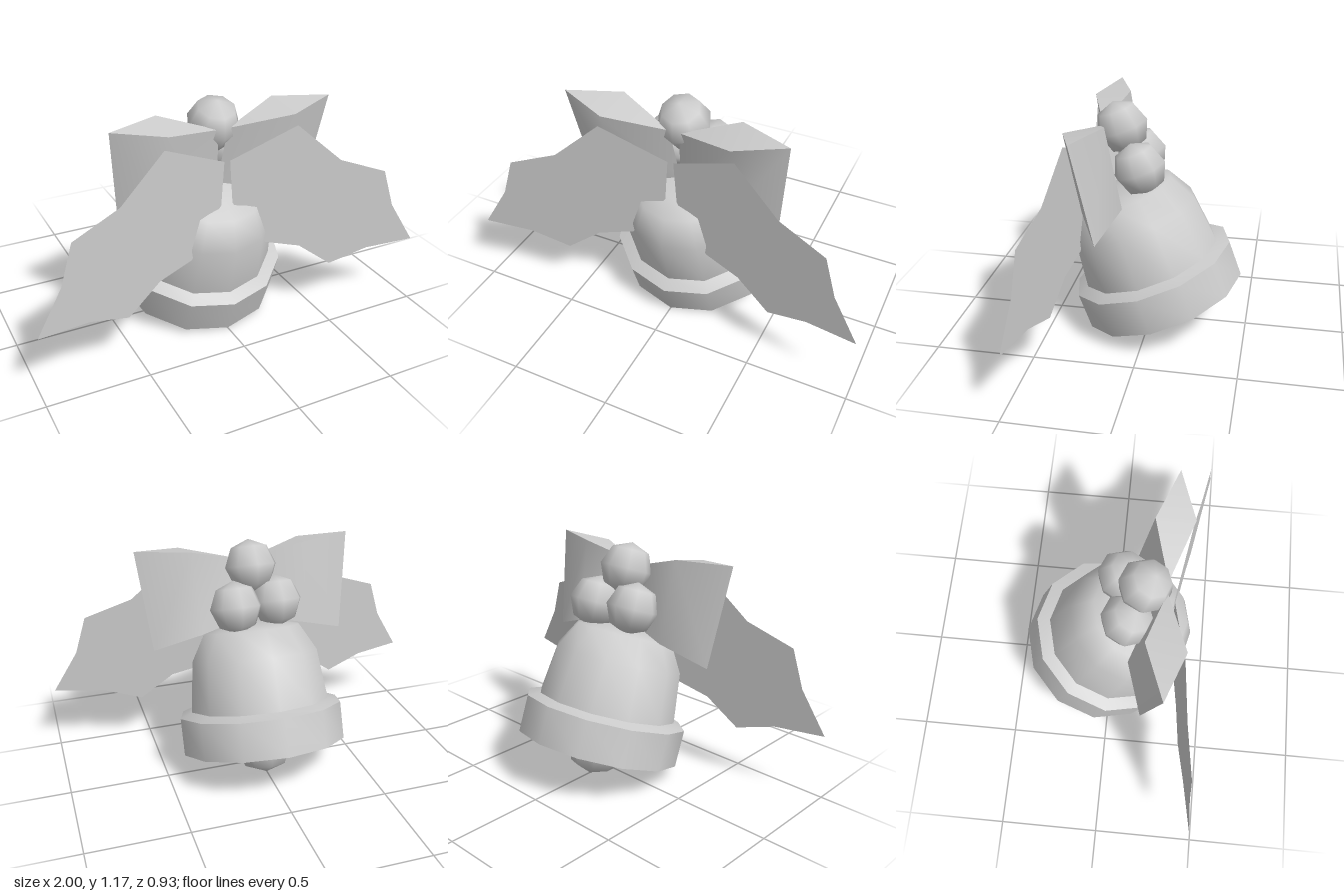
import * as THREE from 'three';
import { toCreasedNormals } from 'three/addons/utils/BufferGeometryUtils.js';

const TILT = 0.349;

export function createModel() {
  const model = new THREE.Group();
  model.name = 'festiveBell';
  const grey = new THREE.MeshStandardMaterial({ color: 0xcccccc, side: THREE.DoubleSide });
  grey.name = 'plainGrey';

  const add = (parent, name, geometry, x = 0, y = 0, z = 0) => {
    const mesh = new THREE.Mesh(geometry, grey);
    mesh.name = name;
    mesh.position.set(x, y, z);
    parent.add(mesh);
    return mesh;
  };

  // Bell, leaning forward, open at the bottom
  const bell = new THREE.Group();
  bell.name = 'bell';
  bell.position.set(0, 0.148, -0.067);
  bell.rotation.x = TILT;
  model.add(bell);
  const profile = [
    [0.422, 0], [0.422, 0.189], [0.36, 0.213], [0.328, 0.468], [0.25, 0.603], [0.14, 0.628], [0, 0.64],
  ].map(([r, h]) => new THREE.Vector2(r, h));
  add(bell, 'bellShell', toCreasedNormals(new THREE.LatheGeometry(profile, 12), 0.95));

  // Clapper and its short stem
  add(bell, 'clapper', new THREE.SphereGeometry(0.157, 8, 4));
  add(bell, 'clapperStem', new THREE.CylinderGeometry(0.032, 0.032, 0.19, 6), 0, 0.195, 0);

  // Three berries behind the bow
  for (const [x, y, z] of [[0, 1.05, 0.147], [0.11, 0.88, 0.04], [-0.11, 0.88, 0.075]]) {
    add(model, 'berry', new THREE.SphereGeometry(0.132, 8, 4), x, y, z).rotation.x = TILT;
  }

  for (const side of [1, -1]) {
    const label = side > 0 ? 'left' : 'right';
    add(model, label + 'Leaf', leafGeometry(side));
    add(model, label + 'BowLoop', bowLoopGeometry(side));
  }
  return model;
}

// Flat holly leaf, angled forward towards its tip
function leafGeometry(side) {
  const outline = [
    [0.015, 0.91], [0.34, 1.05], [0.57, 0.845], [0.81, 0.755], [0.87, 0.56], [1, 0.345],
    [0.75, 0.33], [0.55, 0.27], [0.38, 0.4], [0.2, 0.45], [0.03, 0.69],
  ];
  const shape = new THREE.Shape(outline.map(([x, y]) => new THREE.Vector2(side * x, y)));
  const geometry = new THREE.ShapeGeometry(shape);
  const p = geometry.attributes.position;
  for (let i = 0; i < p.count; i++) p.setZ(i, 0.29 + 0.18 * Math.abs(p.getX(i)));
  geometry.computeVertexNormals();
  return geometry;
}

// Closed bow loop: a diamond section swept from bottom to top
function bowLoopGeometry(side) {
  // Order: pinch, front, outer tip, rear
  const bottom = [[0, 0.76, 0.19], [0.29, 0.7, 0.285], [0.505, 0.64, 0.175], [0.27, 0.73, 0.095]];
  const top = [[0.025, 1.055, 0.25], [0.32, 1.11, 0.355], [0.56, 1.14, 0.265], [0.3, 1.142, 0.165]];
  const positions = [...bottom, ...top].flatMap(([x, y, z]) => [side * x, y, z]);
  const index = [];
  const tri = (a, b, c) => index.push(...(side > 0 ? [a, b, c] : [a, c, b]));
  for (let i = 0; i < 4; i++) {
    const j = (i + 1) % 4;
    tri(i, j, 4 + j);
    tri(i, 4 + j, 4 + i);
  }
  tri(0, 3, 1); tri(1, 3, 2); // bottom cap
  tri(4, 5, 7); tri(5, 6, 7); // top cap
  const geometry = new THREE.BufferGeometry();
  geometry.setAttribute('position', new THREE.Float32BufferAttribute(positions, 3));
  geometry.setIndex(index);
  return toCreasedNormals(geometry, 0.85);
}
